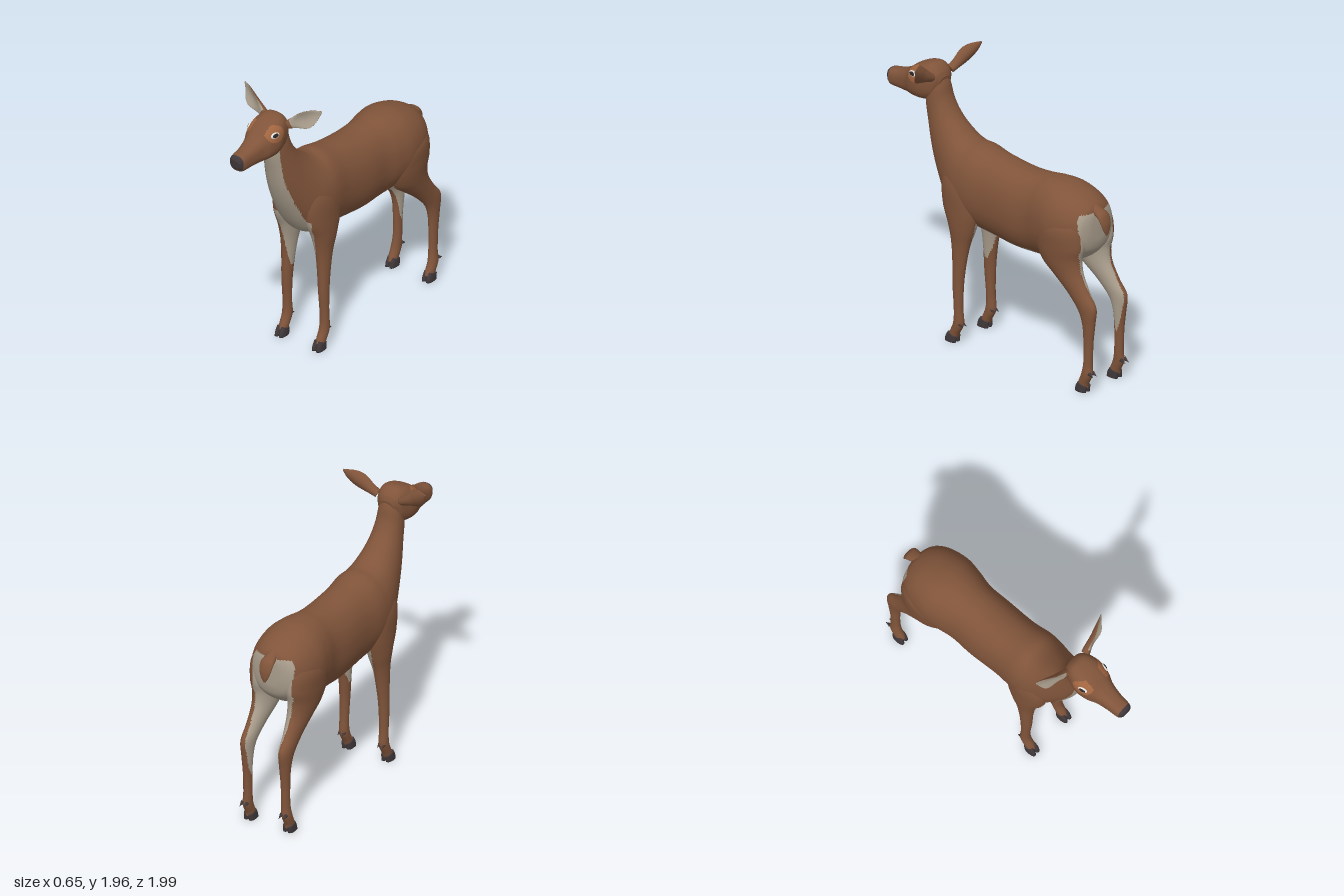
import * as THREE from 'three';

const mat = (name, color) => {
  const m = new THREE.MeshStandardMaterial({ color });
  m.name = name;
  return m;
};
const V = (x, y, z) => new THREE.Vector3(x, y, z);

// Smooth skin over sections [z1, y1, z2, y2, centreX, halfWidth]: the first two pairs are
// opposite points of the section in the side plane. pick(point, cos, sin) chooses a material.
function loft(sections, { steps = 80, sides = 40, round = 1, pick = () => 0, warp } = {}) {
  const curve = f => new THREE.CatmullRomCurve3(sections.map(f), false, 'catmullrom', 0.5);
  const c1 = curve(s => V(0, s[1], s[0]));
  const c2 = curve(s => V(0, s[3], s[2]));
  const cw = curve(s => V(s[4], s[5], 0));
  const pts = [], trig = [];
  const soft = v => Math.sign(v) * Math.abs(v) ** round;
  const put = p => { if (warp) warp(p); pts.push(p); };
  const centres = [];
  for (let i = 0; i <= steps; i++) {
    const t = i / steps, a = c1.getPoint(t), b = c2.getPoint(t), w = cw.getPoint(t);
    const c = a.clone().add(b).multiplyScalar(0.5).setX(w.x);
    const half = a.sub(b).multiplyScalar(0.5);
    centres.push({ c, half });
    for (let j = 0; j < sides; j++) {
      const th = j / sides * Math.PI * 2;
      const p = c.clone().addScaledVector(half, soft(Math.cos(th)));
      p.x += w.y * soft(Math.sin(th));
      put(p);
      trig.push([Math.cos(th), Math.sin(th)]);
    }
  }
  put(centres[0].c.clone());
  put(centres[steps].c.clone());
  trig.push([0, 0], [0, 0]);

  // Turn the faces outward whichever way the sections run
  const m = steps >> 1;
  const dir = centres[m + 1].c.clone().sub(centres[m - 1].c);
  const flip = centres[m].half.clone().cross(V(1, 0, 0)).dot(dir) < 0;
  const lists = [];
  const tri = (a, b, c) => {
    const mid = pts[a].clone().add(pts[b]).add(pts[c]).divideScalar(3);
    const k = pick(mid, (trig[a][0] + trig[b][0] + trig[c][0]) / 3, (trig[a][1] + trig[b][1] + trig[c][1]) / 3);
    (lists[k] ??= []).push(...(flip ? [a, c, b] : [a, b, c]));
  };
  const last = steps * sides, end = pts.length - 2;
  for (let j = 0; j < sides; j++) {
    const n = (j + 1) % sides;
    for (let i = 0; i < steps; i++) {
      const r = i * sides, q = r + sides;
      tri(r + j, r + n, q + j);
      tri(r + n, q + n, q + j);
    }
    tri(end, n, j);
    tri(end + 1, last + j, last + n);
  }
  const g = new THREE.BufferGeometry().setFromPoints(pts);
  const index = [];
  lists.forEach((l, k) => {
    g.addGroup(index.length, l.length, k);
    for (const v of l) index.push(v);
  });
  g.setIndex(index);
  g.computeVertexNormals();
  return g;
}

function mirrored(geo) {
  const g = geo.clone().scale(-1, 1, 1);
  const ix = g.index.array;
  for (let i = 0; i < ix.length; i += 3) [ix[i], ix[i + 1]] = [ix[i + 1], ix[i]];
  g.computeVertexNormals();
  return g;
}

export function createModel() {
  const model = new THREE.Group();
  model.name = 'deer';
  const brown = mat('brown coat', 0x80543a), pale = mat('pale fur', 0xa99d8c);
  const dark = mat('dark horn', 0x40383a), ring = mat('eye ring', 0xa0643f);
  const white = mat('eye white', 0xe6e2de), pupil = mat('pupil', 0x2a2528);
  const coat = [brown, pale, dark, ring];

  const add = (name, geo, m) => {
    const mesh = new THREE.Mesh(geo, m);
    mesh.name = name;
    model.add(mesh);
  };
  const pair = (name, geo, m) => {
    add(name + 'Left', geo, m);
    add(name + 'Right', mirrored(geo), m);
  };

  // Rump, barrel, chest and neck with pale rump, belly and throat
  add('torsoAndNeck', loft([
    [-0.885, 1.20, -0.885, 1.10, 0, 0.02], [-0.875, 1.26, -0.88, 1.02, 0, 0.10],
    [-0.84, 1.305, -0.85, 0.95, 0, 0.17], [-0.75, 1.355, -0.76, 0.88, 0, 0.222],
    [-0.62, 1.39, -0.62, 0.84, 0, 0.242], [-0.50, 1.392, -0.50, 0.82, 0, 0.225],
    [-0.38, 1.378, -0.38, 0.805, 0, 0.202], [-0.22, 1.37, -0.22, 0.80, 0, 0.205],
    [0, 1.393, 0, 0.82, 0, 0.20], [0.14, 1.42, 0.16, 0.84, 0, 0.212],
    [0.22, 1.425, 0.30, 0.855, 0, 0.205], [0.29, 1.455, 0.40, 0.95, 0, 0.18],
    [0.37, 1.52, 0.50, 1.12, 0, 0.145], [0.43, 1.59, 0.565, 1.28, 0, 0.12],
    [0.47, 1.67, 0.61, 1.45, 0, 0.10], [0.49, 1.75, 0.64, 1.58, 0, 0.09],
    [0.52, 1.82, 0.64, 1.70, 0, 0.08],
  ], {
    steps: 128, sides: 80, round: 0.92,
    pick: (p, cos) => {
      const x = Math.abs(p.x);
      if (p.z < -0.835) return p.y < 1.25 && x < 0.165 ? 1 : 0;
      const limit = 0.075 + THREE.MathUtils.clamp((1.4 - p.y) * 0.12, 0, 0.045);
      return cos < -0.2 && x < limit ? 1 : 0;
    },
  }), coat);

  // Head with nose pad, pale jaw and lighter fur round the eyes
  add('head', loft([
    [0.50, 1.80, 0.52, 1.70, 0, 0.05], [0.52, 1.845, 0.56, 1.64, 0, 0.09],
    [0.57, 1.885, 0.61, 1.612, 0, 0.11], [0.65, 1.875, 0.67, 1.605, 0, 0.124],
    [0.73, 1.838, 0.74, 1.605, 0, 0.112], [0.80, 1.785, 0.80, 1.605, 0, 0.083],
    [0.88, 1.748, 0.88, 1.605, 0, 0.066], [0.95, 1.732, 0.95, 1.605, 0, 0.06],
    [0.985, 1.722, 0.975, 1.615, 0, 0.052], [1.0, 1.70, 0.993, 1.64, 0, 0.035],
  ], {
    steps: 100, sides: 96, round: 0.78,
    pick: (p, cos) => {
      if (p.z > 0.972 && p.y > 1.63) return 2;
      if (cos < -0.8 && p.z < 0.96) return 1;
      const e = ((p.z - 0.69) / 0.07) ** 2 + ((p.y - 1.797) / 0.055) ** 2;
      return Math.abs(p.x) > 0.06 && e < 1 ? 3 : 0;
    },
  }), coat);

  // Eyes set flush in the sides of the head
  const eye = (depth, high, long) => new THREE.SphereGeometry(1, 24, 16)
    .scale(depth, high, long).rotateZ(0.25).rotateY(-0.2).translate(0.107, 1.795, 0.70);
  pair('eyeWhite', eye(0.010, 0.021, 0.036), white);
  pair('pupil', eye(0.014, 0.016, 0.029), pupil);

  // Cupped leaf-shaped ears, pale inside
  const ear = loft([
    [0.03, 0, -0.03, 0, 0, 0.03], [0.036, 0.05, -0.04, 0.05, 0, 0.024],
    [0.052, 0.12, -0.062, 0.12, 0, 0.014], [0.052, 0.17, -0.064, 0.17, 0, 0.011],
    [0.038, 0.22, -0.044, 0.22, 0, 0.008], [0.006, 0.278, -0.006, 0.278, 0, 0.004],
  ], {
    steps: 48, sides: 40,
    warp: p => { p.x += 8 * p.z * p.z; },
    pick: (p, cos, sin) => (sin > 0.15 && p.y > 0.03 ? 1 : 0),
  });
  const along = V(0.225, 0.14, -0.065).normalize();
  const facing = V(0.25, -0.05, 1);
  facing.addScaledVector(along, -facing.dot(along)).normalize();
  ear.applyMatrix4(new THREE.Matrix4()
    .makeBasis(facing, along, facing.clone().cross(along)).setPosition(0.095, 1.81, 0.545));
  pair('ear', ear, coat);

  // Legs, pale on the inner side
  pair('foreleg', loft([
    [0.36, 1.30, 0.12, 1.28, 0.13, 0.03], [0.40, 1.15, 0.08, 1.13, 0.13, 0.08],
    [0.385, 0.98, 0.07, 0.98, 0.135, 0.08], [0.335, 0.86, 0.115, 0.83, 0.14, 0.07],
    [0.305, 0.74, 0.155, 0.72, 0.145, 0.053], [0.29, 0.60, 0.185, 0.58, 0.15, 0.043],
    [0.285, 0.42, 0.203, 0.42, 0.155, 0.036], [0.272, 0.25, 0.207, 0.25, 0.157, 0.032],
    [0.277, 0.15, 0.20, 0.14, 0.157, 0.034], [0.305, 0.08, 0.235, 0.065, 0.157, 0.033],
    [0.32, 0.045, 0.25, 0.03, 0.157, 0.03],
  ], { pick: p => (p.y > 0.53 && p.y < 1 && p.x < 0.113 + (p.y - 0.53) * 0.1 ? 1 : 0) }), coat);
  pair('hindLeg', loft([
    [-0.50, 1.22, -0.78, 1.27, 0.14, 0.03], [-0.46, 1.12, -0.85, 1.15, 0.14, 0.10],
    [-0.46, 0.98, -0.865, 1.02, 0.14, 0.10], [-0.52, 0.86, -0.845, 0.92, 0.14, 0.085],
    [-0.62, 0.78, -0.86, 0.82, 0.14, 0.07], [-0.74, 0.685, -0.925, 0.71, 0.145, 0.052],
    [-0.84, 0.58, -0.99, 0.62, 0.15, 0.042], [-0.88, 0.48, -0.98, 0.50, 0.15, 0.035],
    [-0.89, 0.36, -0.963, 0.36, 0.15, 0.03], [-0.89, 0.22, -0.957, 0.20, 0.15, 0.03],
    [-0.875, 0.13, -0.96, 0.13, 0.155, 0.033], [-0.85, 0.07, -0.93, 0.06, 0.155, 0.032],
    [-0.84, 0.04, -0.925, 0.03, 0.155, 0.03],
  ], { pick: p => (p.x < (p.y > 0.95 ? 0.16 : 0.12 + (p.y - 0.35) * 0.05) ? 1 : 0) }), coat);

  // Cloven hooves and dewclaws
  for (const [name, z, x, clawZ] of [['fore', 0, 0.157, 0.203], ['hind', -1.172, 0.155, -0.972]]) {
    for (const s of [-1, 1]) {
      const cx = x + s * 0.018;
      pair(name + (s < 0 ? 'InnerHoof' : 'OuterHoof'), loft([
        [z + 0.316, 0.068, z + 0.245, 0.045, cx, 0.017],
        [z + 0.335, 0.035, z + 0.247, 0.022, cx, 0.019],
        [z + 0.343, 0, z + 0.25, 0, cx, 0.02],
      ], { steps: 10, sides: 20, round: 0.85 }), dark);
      pair(name + (s < 0 ? 'InnerDewclaw' : 'OuterDewclaw'),
        new THREE.ConeGeometry(0.014, 0.045, 10).rotateX(-2).translate(x + s * 0.017, 0.137, clawZ), dark);
    }
  }

  // Short drooping tail, pale beneath
  add('tail', loft([
    [-0.84, 1.30, -0.85, 1.22, 0, 0.035], [-0.89, 1.275, -0.885, 1.215, 0, 0.045],
    [-0.935, 1.245, -0.91, 1.205, 0, 0.05], [-0.958, 1.19, -0.93, 1.175, 0, 0.045],
    [-0.962, 1.14, -0.94, 1.135, 0, 0.03], [-0.957, 1.10, -0.95, 1.10, 0, 0.01],
  ], { steps: 40, sides: 32, pick: (p, cos) => (cos < -0.4 ? 1 : 0) }), coat);

  return model;
}
